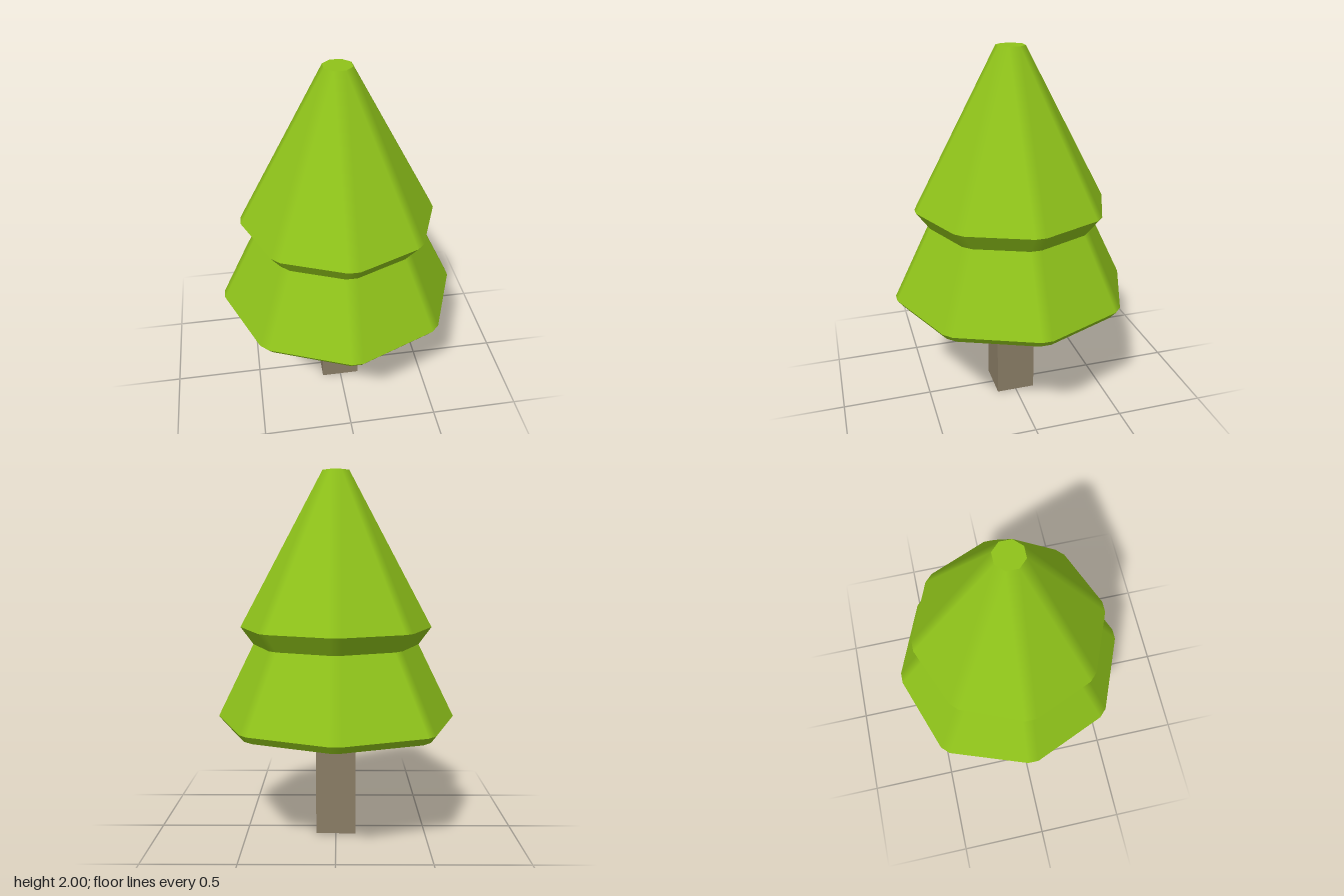
import * as THREE from 'three';

const SIDES = 8;
const BEVEL = 0.03; // half width of the narrow strip that rounds each corner

// Foliage rings from bottom to top: height, corner radius, extra reach of one uneven corner
const RINGS = [
  [0.62, 0.623, 0.025],
  [0.66, 0.655, 0.025],
  [1.065, 0.455, 0],
  [1.16, 0.525, 0],
  [2.0, 0.071, 0],
];

// Octagon with every corner split in two points, counter-clockwise from above
function ringPoints([y, radius, extra]) {
  const points = [];
  for (let k = 0; k < SIDES; k++) {
    const a = (k / SIDES) * Math.PI * 2;
    const r = radius + (k === 5 ? extra : 0);
    for (const s of [-BEVEL, BEVEL]) {
      points.push(new THREE.Vector3(
        r * Math.sin(a) + s * Math.cos(a), y, r * Math.cos(a) - s * Math.sin(a)));
    }
  }
  return points;
}

function foliageGeometry() {
  const positions = [], normals = [];
  const rings = RINGS.map(ringPoints);
  const n = SIDES * 2;
  const triangle = (corners, cornerNormals) => corners.forEach((p, i) => {
    positions.push(p.x, p.y, p.z);
    normals.push(cornerNormals[i].x, cornerNormals[i].y, cornerNormals[i].z);
  });

  // Sloping bands: flat wide faces, normals blended across the corner strips
  for (let r = 0; r < rings.length - 1; r++) {
    const low = rings[r], high = rings[r + 1];
    const wide = r === 2 ? high : low;
    const faceNormals = [];
    for (let k = 0; k < SIDES; k++) {
      const a = 2 * k + 1, b = (2 * k + 2) % n;
      const across = wide[b].clone().sub(wide[a]);
      const up = high[a].clone().add(high[b]).sub(low[a]).sub(low[b]);
      faceNormals.push(across.cross(up).normalize());
    }
    for (let i = 0; i < n; i++) {
      const j = (i + 1) % n;
      const k = Math.floor(i / 2);
      const right = faceNormals[k];
      const left = i % 2 ? right : faceNormals[(k + SIDES - 1) % SIDES];
      triangle([low[i], low[j], high[j]], [left, right, right]);
      triangle([low[i], high[j], high[i]], [left, right, left]);
    }
  }

  // Flat underside and tip
  const down = new THREE.Vector3(0, -1, 0), up = new THREE.Vector3(0, 1, 0);
  const bottom = rings[0], top = rings[rings.length - 1];
  for (let i = 1; i < n - 1; i++) {
    triangle([bottom[0], bottom[i + 1], bottom[i]], [down, down, down]);
    triangle([top[0], top[i], top[i + 1]], [up, up, up]);
  }

  const geometry = new THREE.BufferGeometry();
  geometry.setAttribute('position', new THREE.Float32BufferAttribute(positions, 3));
  geometry.setAttribute('normal', new THREE.Float32BufferAttribute(normals, 3));
  return geometry;
}

export function createModel() {
  const tree = new THREE.Group();
  tree.name = 'tree';

  // Square trunk
  const trunk = new THREE.Mesh(
    new THREE.BoxGeometry(0.22, 0.62, 0.22),
    new THREE.MeshStandardMaterial({ color: 0x8a7d66 }));
  trunk.name = 'trunk';
  trunk.position.y = 0.31;

  // Two-tier foliage
  const foliage = new THREE.Mesh(
    foliageGeometry(),
    new THREE.MeshStandardMaterial({ color: 0x8fc31a }));
  foliage.name = 'foliage';

  tree.add(trunk, foliage);
  return tree;
}
